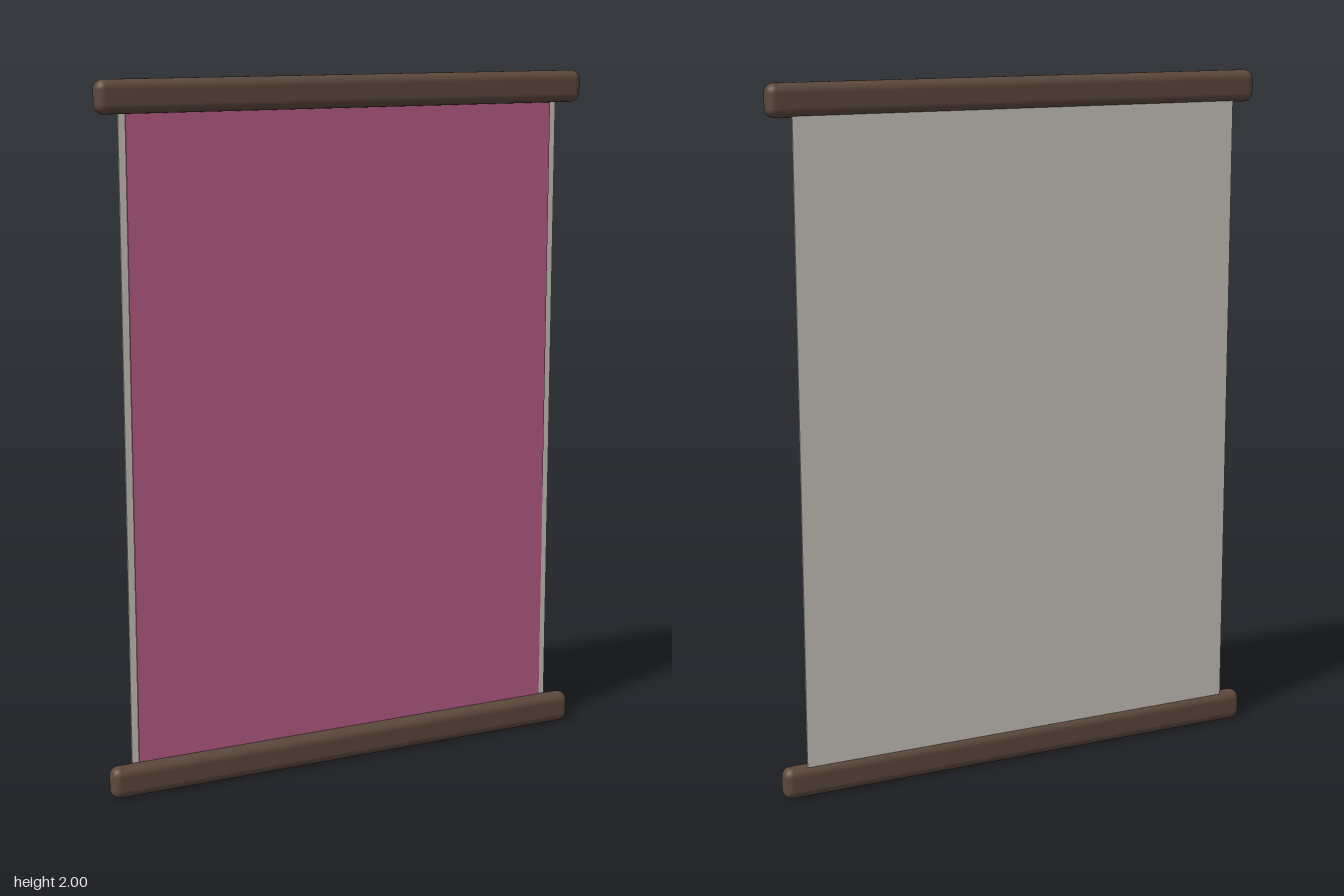
import * as THREE from 'three';
import { RoundedBoxGeometry } from 'three/addons/geometries/RoundedBoxGeometry.js';

export function createModel() {
  const group = new THREE.Group();
  const wood = new THREE.MeshStandardMaterial({ color: 0x5c483c });
  wood.name = 'dark wood';
  const cloth = new THREE.MeshStandardMaterial({ color: 0xc8c4ba });
  cloth.name = 'pale cloth';
  const pink = new THREE.MeshStandardMaterial({ color: 0xb65c86 });
  pink.name = 'pink panel';

  const add = (name, geometry, material, y, z) => {
    const mesh = new THREE.Mesh(geometry, material);
    mesh.name = name;
    mesh.position.set(0, y, z);
    group.add(mesh);
  };

  // Rounded rods at the top and bottom
  const rod = new RoundedBoxGeometry(1.5, 0.092, 0.056, 4, 0.026);
  add('topRod', rod, wood, 1.954, 0);
  add('bottomRod', rod, wood, 0.046, 0);

  // Hanging sheet, its ends tucked into the rods
  add('backingSheet', new THREE.BoxGeometry(1.36, 1.88, 0.006), cloth, 1, -0.013);

  // Coloured panel on the front, leaving a narrow border at the sides
  add('frontPanel', new THREE.BoxGeometry(1.32, 1.88, 0.004), pink, 1, -0.008);

  return group;
}
